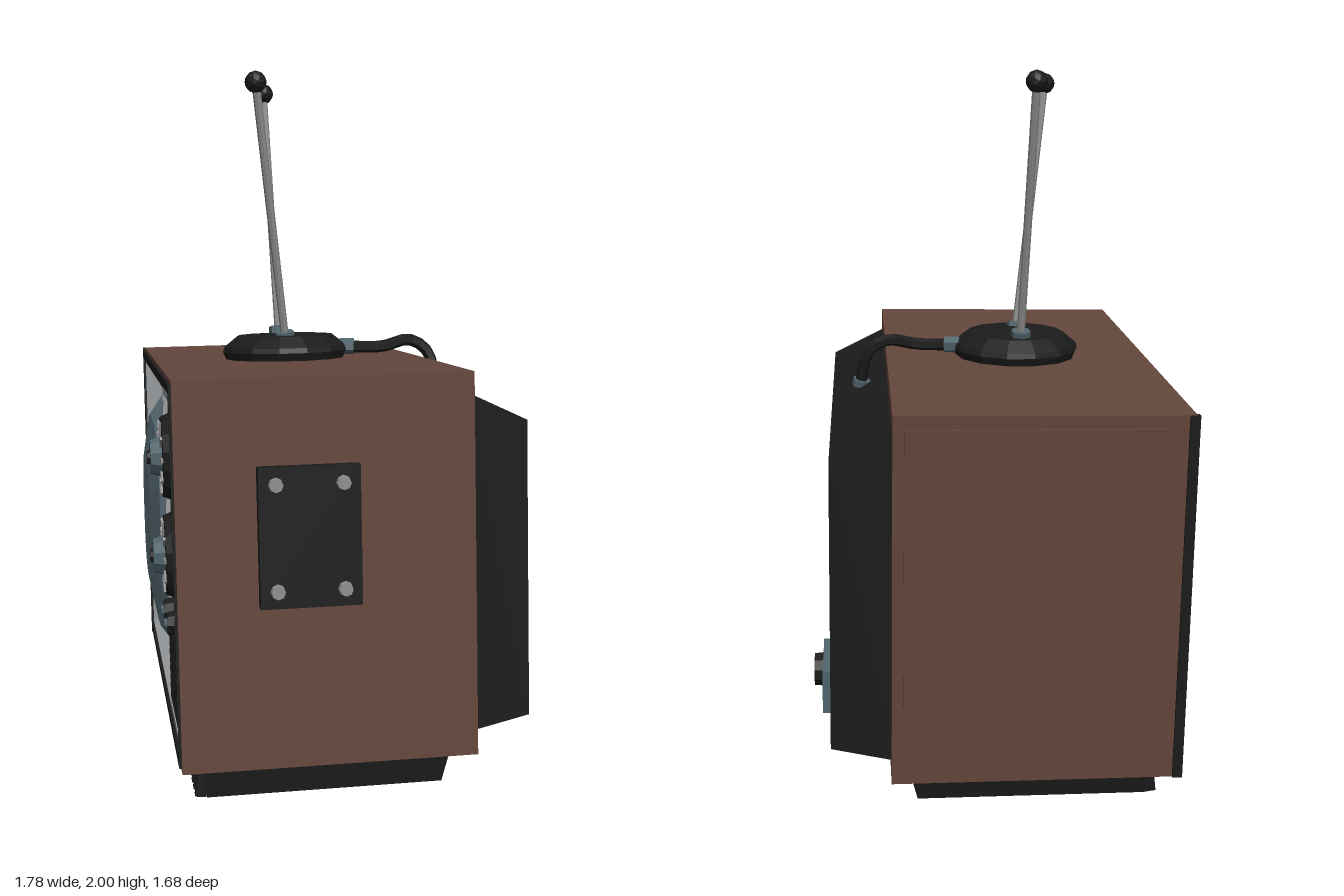
import * as THREE from 'three';

const mat = (color, side = THREE.FrontSide) => new THREE.MeshStandardMaterial({ color, flatShading: true, side });
const BROWN = mat(0x63463b), BLACK = mat(0x1b1b1b), GREY = mat(0x9a9ea0, THREE.DoubleSide),
  GLASS = mat(0x60767f), TEAL = mat(0x50646c), METAL = mat(0x8c8c8c);

function add(parent, name, geometry, material, x = 0, y = 0, z = 0) {
  const mesh = new THREE.Mesh(geometry, material);
  mesh.name = name;
  mesh.position.set(x, y, z);
  parent.add(mesh);
  return mesh;
}

// box given by its limits
function box(parent, name, material, x0, x1, y0, y1, z0, z1) {
  return add(parent, name, new THREE.BoxGeometry(x1 - x0, y1 - y0, z1 - z0), material,
    (x0 + x1) / 2, (y0 + y1) / 2, (z0 + z1) / 2);
}

const rect = (x0, x1, y0, y1) => [[x0, y0], [x1, y0], [x1, y1], [x0, y1]];

// rectangular frame with a rectangular opening, extruded from z0 to z1
function frame(parent, name, material, outer, inner, z0, z1) {
  const toPts = r => r.map(p => new THREE.Vector2(...p));
  const shape = new THREE.Shape(toPts(outer));
  shape.holes.push(new THREE.Path(toPts(inner)));
  return add(parent, name, new THREE.ExtrudeGeometry(shape, { depth: z1 - z0, bevelEnabled: false }), material, 0, 0, z0);
}

// skin over counter-clockwise rings [points, z] with rising z
function loft(rings, caps = true) {
  const n = rings[0][0].length, pos = [], idx = [];
  for (const [pts, z] of rings) for (const [x, y] of pts) pos.push(x, y, z);
  for (let k = 0; k < rings.length - 1; k++) {
    for (let i = 0; i < n; i++) {
      const a = k * n + i, b = k * n + (i + 1) % n;
      idx.push(a, b, b + n, a, b + n, a + n);
    }
  }
  const last = (rings.length - 1) * n;
  if (caps) for (let i = 1; i < n - 1; i++) idx.push(last, last + i, last + i + 1, 0, i + 1, i);
  const g = new THREE.BufferGeometry();
  g.setAttribute('position', new THREE.Float32BufferAttribute(pos, 3));
  g.setIndex(idx);
  const flat = g.toNonIndexed();
  flat.computeVertexNormals();
  return flat;
}

// disc or peg along z
function peg(parent, name, material, r0, r1, depth, sides, x, y, z) {
  const g = new THREE.CylinderGeometry(r1, r0, depth, sides).rotateX(Math.PI / 2);
  return add(parent, name, g, material, x, y, z + depth / 2);
}

function rod(parent, name, material, a, b, r, sides) {
  const d = b.clone().sub(a), m = a.clone().add(b).multiplyScalar(0.5);
  const mesh = add(parent, name, new THREE.CylinderGeometry(r, r, d.length(), sides), material, m.x, m.y, m.z);
  mesh.quaternion.setFromUnitVectors(new THREE.Vector3(0, 1, 0), d.normalize());
  return mesh;
}

function buildDial(parent, x, y) {
  const dial = new THREE.Group();
  dial.name = 'channelDial';
  dial.position.set(x, y, 0.385);
  peg(dial, 'dialDisc', BLACK, 0.12, 0.108, 0.028, 14, 0, 0, 0);
  peg(dial, 'dialHub', TEAL, 0.055, 0.045, 0.03, 10, 0, 0, 0.028);
  peg(dial, 'dialCap', BLACK, 0.02, 0.018, 0.008, 8, 0, 0, 0.058);
  for (let i = 0; i < 10; i++) {
    const a = i * Math.PI / 5;
    const tick = add(dial, 'dialTick', new THREE.BoxGeometry(0.04, 0.009, 0.008), METAL,
      Math.cos(a) * 0.08, Math.sin(a) * 0.08, 0.03);
    tick.rotation.z = a;
  }
  parent.add(dial);
}

export function createModel() {
  const model = new THREE.Group();
  model.name = 'television';

  // the set stands turned and slightly tilted
  const set = new THREE.Group();
  set.name = 'televisionSet';
  set.position.set(0.003, 0.144, 0.042);
  set.rotation.set(0.015, -0.686, 0.045, 'YXZ');
  model.add(set);

  // cabinet
  const outer = rect(-0.765, 0.765, 0, 1.02);
  box(set, 'cabinet', BROWN, -0.765, 0.765, 0, 1.02, -0.39, 0.29);
  frame(set, 'cabinetFront', BROWN, outer, rect(-0.71, 0.725, 0.05, 0.97), 0.29, 0.395);
  frame(set, 'frontTrim', BLACK, rect(-0.755, 0.75, 0.012, 1.008), rect(-0.728, 0.735, 0.035, 0.985), 0.39, 0.402);
  box(set, 'sideTrim', BLACK, -0.772, -0.75, 0, 1.02, 0.375, 0.402);
  box(set, 'sidePanel', BROWN, -0.775, -0.76, 0.035, 0.985, -0.36, 0.32);

  // screen recess, bezel and bulging tube
  box(set, 'screenBacking', BLACK, -0.7, 0.36, 0.06, 0.96, 0.28, 0.315);
  add(set, 'screenBezel', loft([[rect(-0.675, 0.335, 0.085, 0.935), 0.315], [rect(-0.71, 0.358, 0.05, 0.97), 0.396]], false), GREY);
  box(set, 'divider', GREY, 0.357, 0.388, 0.05, 0.97, 0.3, 0.397);
  const screenRing = s => Array.from({ length: 20 }, (_, i) => {
    const a = (i + 0.5) * Math.PI / 10, c = Math.cos(a), n = Math.sin(a);
    const k = s / Math.pow(Math.abs(c) ** 3.2 + Math.abs(n) ** 3.2, 1 / 3.2);
    return [-0.18 + 0.48 * c * k, 0.515 + 0.395 * n * k];
  });
  add(set, 'screen', loft([[screenRing(1), 0.31], [screenRing(0.97), 0.355], [screenRing(0.8), 0.405], [screenRing(0.5), 0.428]]), GLASS);

  // control panel
  box(set, 'controlPanel', BROWN, 0.385, 0.725, 0.05, 0.97, 0.29, 0.385);
  frame(set, 'controlRim', GREY, rect(0.385, 0.728, 0.048, 0.972), rect(0.398, 0.708, 0.065, 0.955), 0.37, 0.396);
  buildDial(set, 0.535, 0.8);
  buildDial(set, 0.545, 0.535);
  for (const x of [0.465, 0.615]) {
    peg(set, 'smallKnob', BLACK, 0.036, 0.03, 0.03, 8, x, 0.365, 0.385);
    peg(set, 'smallKnobCap', TEAL, 0.014, 0.012, 0.008, 6, x, 0.365, 0.415);
  }
  for (let i = 0; i < 9; i++) {
    const y = 0.105 + i * 0.0245;
    box(set, 'grilleSlat', BLACK, 0.4, 0.706, y, y + 0.015, 0.38, 0.4);
  }
  box(set, 'badgePlate', METAL, 0.635, 0.695, 0.07, 0.095, 0.38, 0.395);

  // ribbed base
  add(set, 'base', loft([[rect(-0.655, 0.655, -0.325, 0.315), -0.105], [rect(-0.67, 0.67, -0.345, 0.345), 0.01]]).rotateX(-Math.PI / 2), BLACK);
  for (let i = 0; i < 24; i++) {
    const rib = add(set, 'baseRib', new THREE.BoxGeometry(0.028, 0.1, 0.03), BLACK, -0.64 + i * 1.28 / 23, -0.053, 0.335);
    rib.rotation.x = -0.13;
  }

  // rear cover
  add(set, 'rearCover', loft([[rect(-0.7, 0.69, 0.075, 0.88), -0.553], [rect(-0.725, 0.72, 0.05, 0.96), -0.385]]), BLACK);

  // power socket
  frame(set, 'socketPlate', TEAL, rect(-0.635, -0.4, 0.15, 0.27), rect(-0.61, -0.54, 0.18, 0.24), -0.575, -0.55);
  peg(set, 'socketPlug', BLACK, 0.045, 0.05, 0.05, 10, -0.475, 0.21, -0.6);
  box(set, 'socketPin', BLACK, -0.6, -0.55, 0.19, 0.23, -0.57, -0.55);

  // bolted plate on the left side
  box(set, 'sidePlate', BLACK, 0.76, 0.8, 0.43, 0.795, -0.08, 0.185);
  for (const y of [0.475, 0.75]) for (const z of [-0.035, 0.14]) {
    add(set, 'plateBolt', new THREE.CylinderGeometry(0.018, 0.02, 0.018, 8).rotateZ(-Math.PI / 2), METAL, 0.808, y, z);
  }

  // antenna foot
  const profile = [[0, 0], [0.18, 0], [0.19, 0.025], [0.185, 0.04], [0.145, 0.072], [0, 0.078]];
  add(set, 'antennaFoot', new THREE.LatheGeometry(profile.map(p => new THREE.Vector2(...p)), 14), BLACK, 0, 1.018, 0);

  // antenna rods, placed upright in the model's frame
  const V = (x, y, z) => new THREE.Vector3(x, y, z);
  for (const [a, b] of [[V(-0.12, 1.22, -0.03), V(-0.27, 1.97, -0.12)], [V(0.015, 1.22, 0.085), V(0.04, 1.972, 0.235)]]) {
    rod(model, 'antennaRod', METAL, a, b, 0.012, 8);
    rod(model, 'antennaSocket', TEAL, a, a.clone().lerp(b, 0.04), 0.03, 6);
    add(model, 'antennaTip', new THREE.IcosahedronGeometry(0.032, 1), BLACK, b.x, b.y, b.z);
  }

  // antenna cable
  const path = [V(0.06, 1.195, -0.11), V(0.16, 1.195, -0.19), V(0.2, 1.212, -0.28), V(0.235, 1.175, -0.325), V(0.265, 1.07, -0.33)];
  add(model, 'antennaCable', new THREE.TubeGeometry(new THREE.CatmullRomCurve3(path), 14, 0.018, 6), BLACK);
  rod(model, 'cableCollar', TEAL, path[0], path[0].clone().lerp(path[1], 0.35), 0.025, 6);
  rod(model, 'cableCollar', TEAL, path[4], path[4].clone().lerp(path[3], 0.2), 0.028, 6);

  return model;
}
